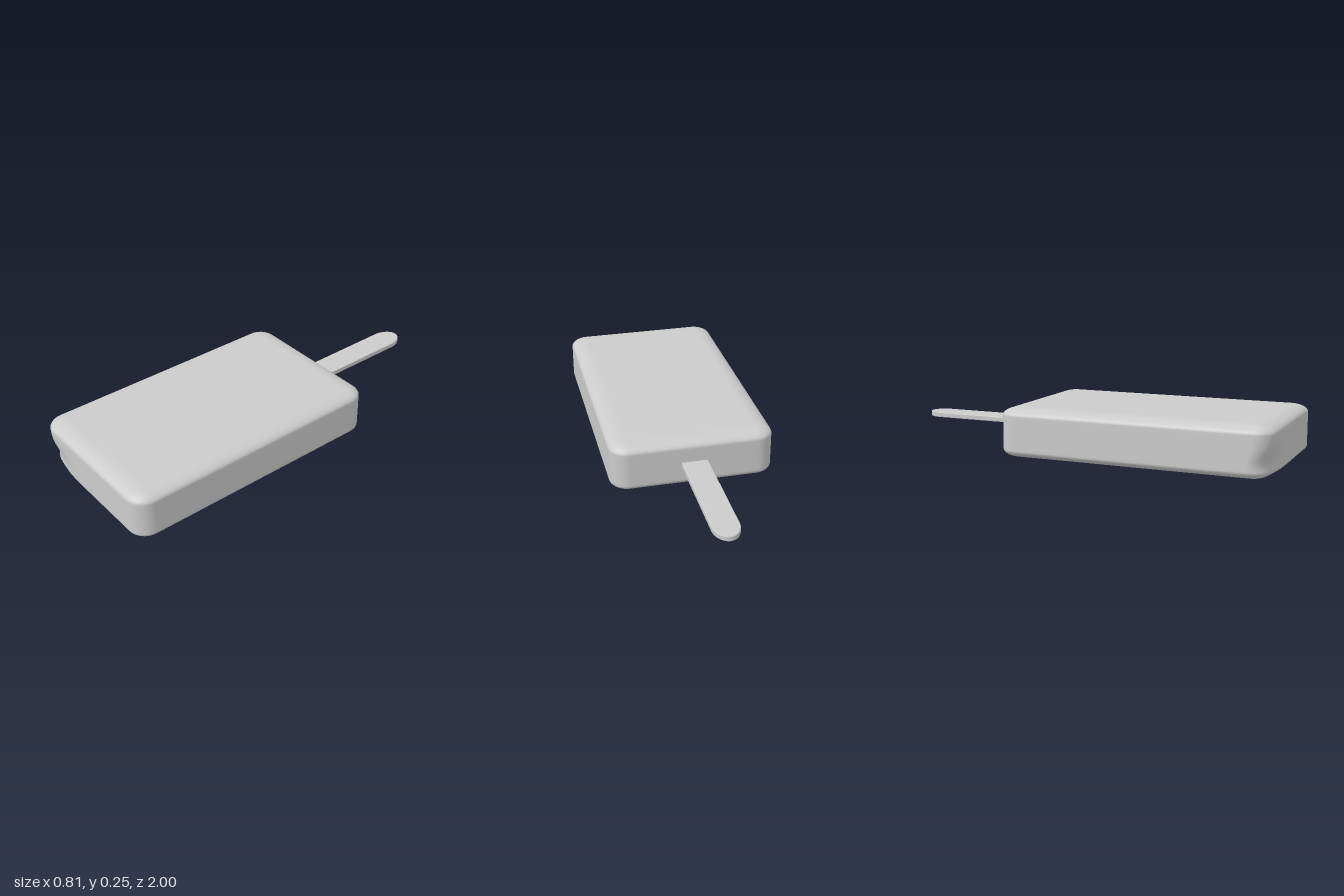
import * as THREE from 'three';
import { mergeVertices } from 'three/addons/utils/BufferGeometryUtils.js';

const material = new THREE.MeshStandardMaterial({ color: 0xcccccc });

// Box with ellipsoidal corners: the outer half of each axis' grid becomes the arc
function softBox(size, radii) {
  const geo = new THREE.BoxGeometry(2, 2, 2, 24, 24, 24);
  geo.deleteAttribute('uv');
  geo.deleteAttribute('normal');
  const pos = geo.attributes.position;
  const dir = new THREE.Vector3();
  const core = new THREE.Vector3();
  for (let i = 0; i < pos.count; i++) {
    for (let a = 0; a < 3; a++) {
      const v = pos.getComponent(i, a);
      const arc = Math.max(0, Math.abs(v) - 0.5) * 2;
      dir.setComponent(a, Math.sign(v) * Math.tan(arc * Math.PI / 4));
      core.setComponent(a, THREE.MathUtils.clamp(v * 2, -1, 1) * (size[a] / 2 - radii[a]));
    }
    dir.normalize();
    for (let a = 0; a < 3; a++) {
      pos.setComponent(i, a, core.getComponent(a) + radii[a] * dir.getComponent(a));
    }
  }
  return mergeVertices(geo, 1e-5);
}

export function createModel() {
  const group = new THREE.Group();

  // Ice bar, with a shallow hollow low on the front right corner
  const barGeo = softBox([0.81, 0.248, 1.365], [0.09, 0.04, 0.09]);
  barGeo.translate(0, 0.124, 0.3125);
  const p = barGeo.attributes.position;
  for (let i = 0; i < p.count; i++) {
    const x = p.getX(i), y = p.getY(i), z = p.getZ(i);
    const dent = Math.exp(-(((x + 0.38) / 0.13) ** 2) - ((y - 0.06) / 0.07) ** 2);
    p.setZ(i, z - 0.035 * dent * THREE.MathUtils.smoothstep(z, 0.75, 0.96));
  }
  barGeo.computeVertexNormals();
  const bar = new THREE.Mesh(barGeo, material);
  bar.name = 'iceBar';
  group.add(bar);

  // Flat stick with a rounded tip, drawn in plan and extruded upward
  const bevel = 0.004, half = 0.065 - bevel, tip = 0.09;
  const plan = new THREE.Shape();
  plan.moveTo(-half, 0.3);
  plan.lineTo(half, 0.3);
  plan.lineTo(half, 1 - bevel - tip);
  plan.absellipse(0, 1 - bevel - tip, half, tip, 0, Math.PI, false);
  plan.closePath();
  const stickGeo = new THREE.ExtrudeGeometry(plan, {
    depth: 0.027 - 2 * bevel, bevelEnabled: true, bevelThickness: bevel,
    bevelSize: bevel, bevelSegments: 2, curveSegments: 24,
  });
  stickGeo.rotateX(-Math.PI / 2);
  stickGeo.translate(0, 0.11 + bevel, 0);
  const stick = new THREE.Mesh(stickGeo, material);
  stick.name = 'stick';
  group.add(stick);

  return group;
}
